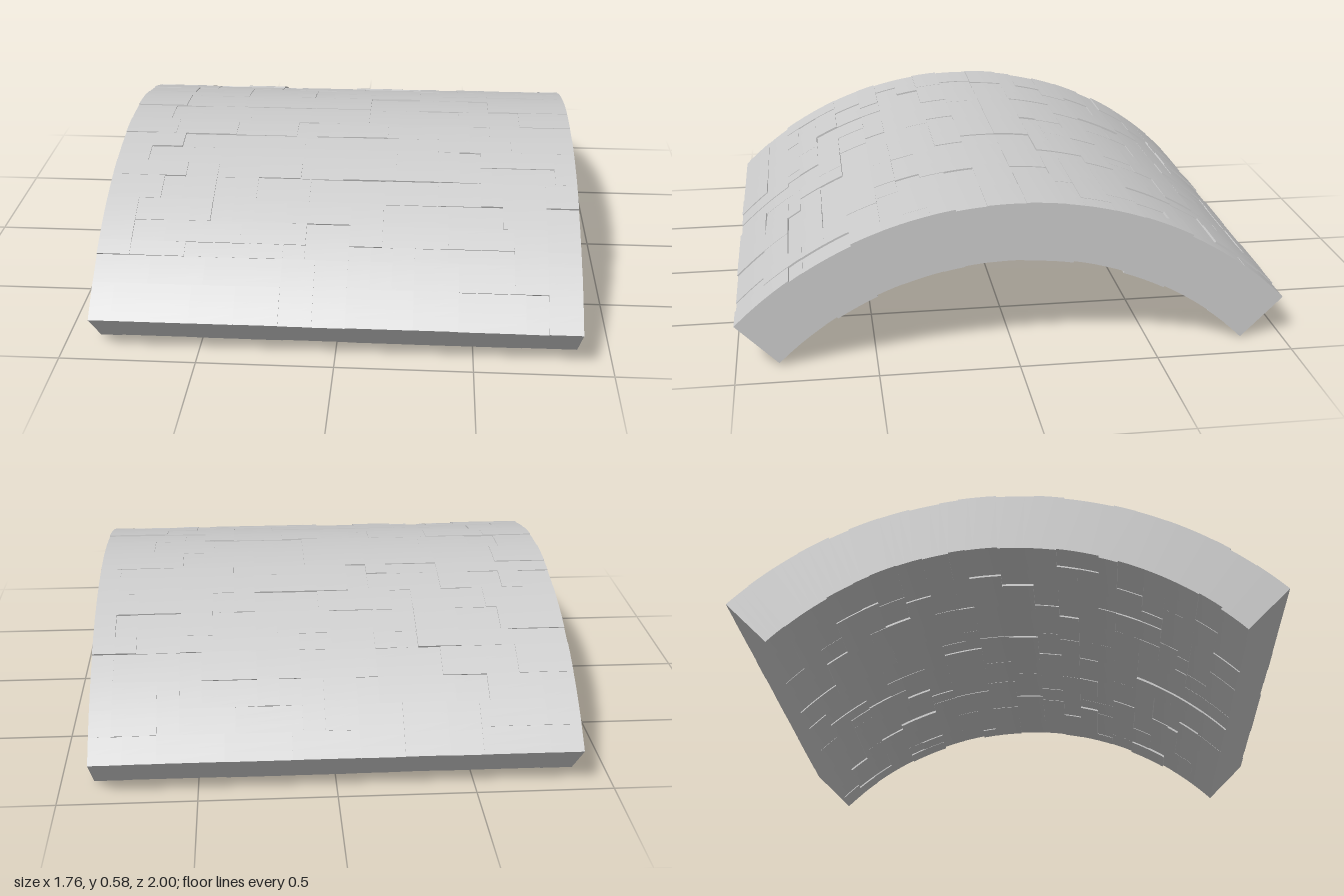
import * as THREE from 'three';
import { mergeGeometries } from 'three/addons/utils/BufferGeometryUtils.js';

const HALF_LENGTH = 0.88;
const OUTER = 1.415, INNER = 1.195;      // vault radii
const AXIS_Y = -0.835, AXIS_Z = 0.003;   // centre line of the vault
const COLUMNS = 44;

// Course joints from the back springing to the front one, as z on the outer face
const JOINTS = [-1, -0.93, -0.85, -0.76, -0.65, -0.58, -0.47, -0.36, -0.25, -0.18, -0.04,
  0.1, 0.21, 0.3, 0.39, 0.47, 0.58, 0.67, 0.75, 0.8, 0.89, 1];

function seededRandom(seed) {
  return () => {
    seed = (seed * 1664525 + 1013904223) % 4294967296;
    return seed / 4294967296;
  };
}

// A box bent round the vault axis: x along it, y radial, z by angle
function makeStone(x0, x1, r0, r1, a0, a1) {
  const segments = Math.max(2, Math.ceil((a1 - a0) / 0.03));
  const geometry = new THREE.BoxGeometry(1, 1, 1, 1, 1, segments);
  const p = geometry.attributes.position;
  for (let i = 0; i < p.count; i++) {
    const x = THREE.MathUtils.lerp(x0, x1, p.getX(i) + 0.5);
    const r = THREE.MathUtils.lerp(r0, r1, p.getY(i) + 0.5);
    const a = THREE.MathUtils.lerp(a0, a1, p.getZ(i) + 0.5);
    p.setXYZ(i, x, AXIS_Y + r * Math.cos(a), AXIS_Z + r * Math.sin(a));
  }
  geometry.computeVertexNormals();
  return geometry;
}

export function createModel() {
  const vault = new THREE.Group();
  vault.name = 'stoneVault';
  const material = new THREE.MeshStandardMaterial({ color: 0xcccccc });
  const random = seededRandom(17);

  const rows = JOINTS.length - 1;
  const angles = JOINTS.map((z) => Math.asin(z / OUTER));
  angles[0] = THREE.MathUtils.degToRad(-45.3);
  angles[rows] = THREE.MathUtils.degToRad(44.85);
  const columnX = (c) => -HALF_LENGTH + (2 * HALF_LENGTH * c) / COLUMNS;
  const taken = Array.from({ length: rows }, () => new Array(COLUMNS).fill(false));

  for (let row = 0; row < rows; row++) {
    const stones = [];
    for (let c = 0; c < COLUMNS;) {
      if (taken[row][c]) { c++; continue; }
      // Free run up to the next tall stone from the course before
      let free = 1;
      while (c + free < COLUMNS && !taken[row][c + free]) free++;
      let width = Math.min(free, 2 + Math.floor(random() * 6));
      if (free - width === 1) width++;

      // Some stones rise through two shallow courses
      const tall = row + 2 <= rows && width <= 4 && random() < 0.4
        && JOINTS[row + 2] - JOINTS[row] < 0.21;
      const end = row + (tall ? 2 : 1);
      for (let r = row; r < end; r++) taken[r].fill(true, c, c + width);

      // Uneven faces, above and below
      const outer = OUTER - random() * 0.009;
      const inner = INNER + (random() - 0.5) * 0.01;
      stones.push(makeStone(columnX(c), columnX(c + width), inner, outer, angles[row], angles[end]));
      c += width;
    }
    if (!stones.length) continue;
    const course = new THREE.Mesh(mergeGeometries(stones), material);
    course.name = `stoneCourse${row + 1}`;
    vault.add(course);
  }
  return vault;
}
